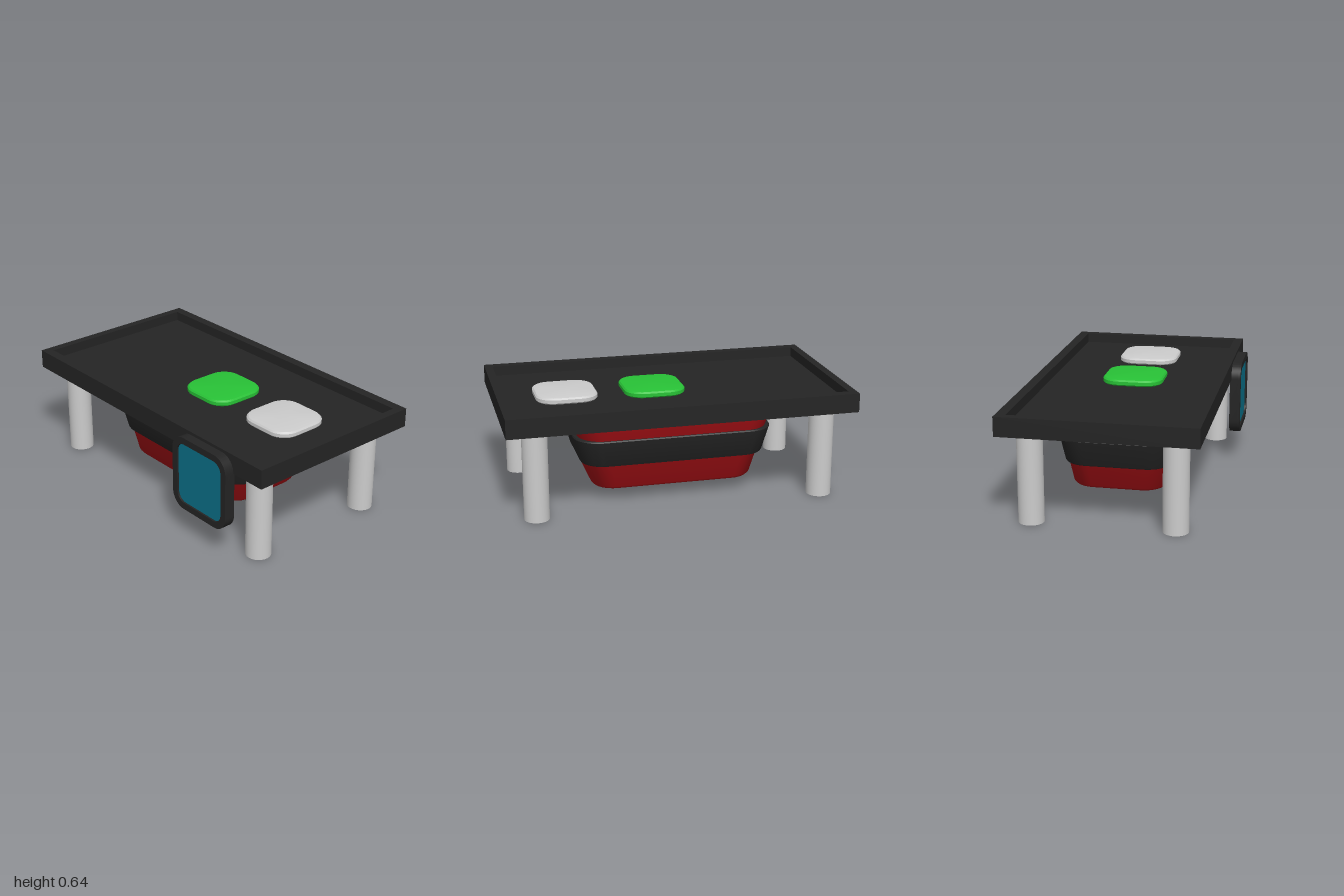
import * as THREE from 'three';
import { toCreasedNormals } from 'three/addons/utils/BufferGeometryUtils.js';

const paint = (color) => new THREE.MeshStandardMaterial({ color });
const CX = 0.027; // the table is offset sideways by the side panel

function roundedRect(target, w, h, r) {
  const x = w / 2, y = h / 2;
  target.moveTo(-x + r, -y);
  target.lineTo(x - r, -y);
  if (r) target.absarc(x - r, -y + r, r, -Math.PI / 2, 0);
  target.lineTo(x, y - r);
  if (r) target.absarc(x - r, y - r, r, 0, Math.PI / 2);
  target.lineTo(-x + r, y);
  if (r) target.absarc(-x + r, y - r, r, Math.PI / 2, Math.PI);
  target.lineTo(-x, -y + r);
  if (r) target.absarc(-x + r, -y + r, r, Math.PI, Math.PI * 1.5);
  return target;
}

// Extruded rounded rectangle, optionally with a rounded hole
function plate(w, h, r, depth, hole) {
  const shape = roundedRect(new THREE.Shape(), w, h, r);
  if (hole) shape.holes.push(roundedRect(new THREE.Path(), ...hole));
  const geo = new THREE.ExtrudeGeometry(shape, { depth, bevelEnabled: false, curveSegments: 8 });
  return toCreasedNormals(geo, 0.5);
}

// Skin through rounded-rectangle sections, bottom to top: [half x, half z, corner radius, y]
function loft(sections, crease = 0.6) {
  const steps = 8, n = 4 * (steps + 1), pos = [], index = [];
  sections.forEach(([hx, hz, r, y], i) => {
    for (let q = 0; q < 4; q++) {
      const sx = q === 0 || q === 3 ? 1 : -1, sz = q < 2 ? 1 : -1;
      for (let k = 0; k <= steps; k++) {
        const a = (q + k / steps) * Math.PI / 2;
        pos.push(sx * (hx - r) + r * Math.cos(a), y, sz * (hz - r) + r * Math.sin(a));
      }
    }
    if (i === 0) return;
    for (let j = 0; j < n; j++) {
      const a = (i - 1) * n + j, b = (i - 1) * n + (j + 1) % n;
      index.push(a, a + n, b, b, a + n, b + n);
    }
  });
  const geo = new THREE.BufferGeometry();
  geo.setAttribute('position', new THREE.Float32BufferAttribute(pos, 3));
  geo.setIndex(index);
  return toCreasedNormals(geo, crease);
}

export function createModel() {
  const model = new THREE.Group();
  const black = paint(0x242424), grey = paint(0xcccccc), red = paint(0xa00f14);
  const green = paint(0x28c236), blue = paint(0x0b7189);

  const add = (name, geo, mat, x, y, z) => {
    const mesh = new THREE.Mesh(geo, mat);
    mesh.name = name;
    mesh.position.set(x, y, z);
    model.add(mesh);
    return mesh;
  };

  // Tray-like table top: raised rim around a sunken floor
  const rim = plate(1.093, 2, 0, 0.11, [0.98, 1.905, 0]).rotateX(-Math.PI / 2);
  add('tableRim', rim, black, CX, 0.527, 0);
  add('tableFloor', new THREE.BoxGeometry(0.98, 0.053, 1.905), black, CX, 0.5535, 0);

  // Four round legs with dark undersides
  const leg = new THREE.CylinderGeometry(0.072, 0.072, 0.527, 32);
  for (const sx of [-1, 1]) {
    for (const sz of [-1, 1]) {
      add('leg', leg, [grey, grey, black], CX + sx * 0.399, 0.2635, sz * 0.83);
    }
  }

  // Tapered basin hanging under the table
  add('basin', loft([
    [0, 0, 0, 0.068],
    [0.19, 0.39, 0.09, 0.069],
    [0.235, 0.44, 0.11, 0.073],
    [0.258, 0.463, 0.12, 0.08],
    [0.27, 0.476, 0.125, 0.095],
    [0.342, 0.597, 0.15, 0.53],
  ]), red, CX, 0, 0);

  // Dark band around the basin
  add('basinBand', loft([
    [0.285, 0.505, 0.13, 0.235],
    [0.301, 0.539, 0.135, 0.232],
    [0.306, 0.544, 0.14, 0.24],
    [0.331, 0.583, 0.15, 0.384],
    [0.327, 0.579, 0.15, 0.391],
    [0.31, 0.55, 0.14, 0.391],
  ]), black, CX, 0, 0);

  // Two soft-edged pads lying in the tray
  const pad = loft([
    [0.17, 0.17, 0.1, 0],
    [0.178, 0.178, 0.105, 0.008],
    [0.178, 0.178, 0.105, 0.027],
    [0.17, 0.17, 0.1, 0.036],
    [0.14, 0.14, 0.08, 0.041],
    [0, 0, 0, 0.042],
  ]);
  add('greenPad', pad, green, 0.024, 0.58, 0.08);
  add('greyPad', pad, grey, 0.024, 0.58, 0.594);

  // Side panel facing outwards: back plate, frame and inset screen
  const sideways = (geo) => geo.rotateY(-Math.PI / 2);
  add('panelBack', sideways(plate(0.436, 0.44, 0.09, 0.048)), black, -0.512, 0.4, 0.568);
  add('panelFrame', sideways(plate(0.436, 0.44, 0.09, 0.015, [0.36, 0.364, 0.06])), black, -0.56, 0.4, 0.568);
  add('panelScreen', sideways(plate(0.36, 0.364, 0.06, 0.004)), blue, -0.56, 0.4, 0.568);

  return model;
}
